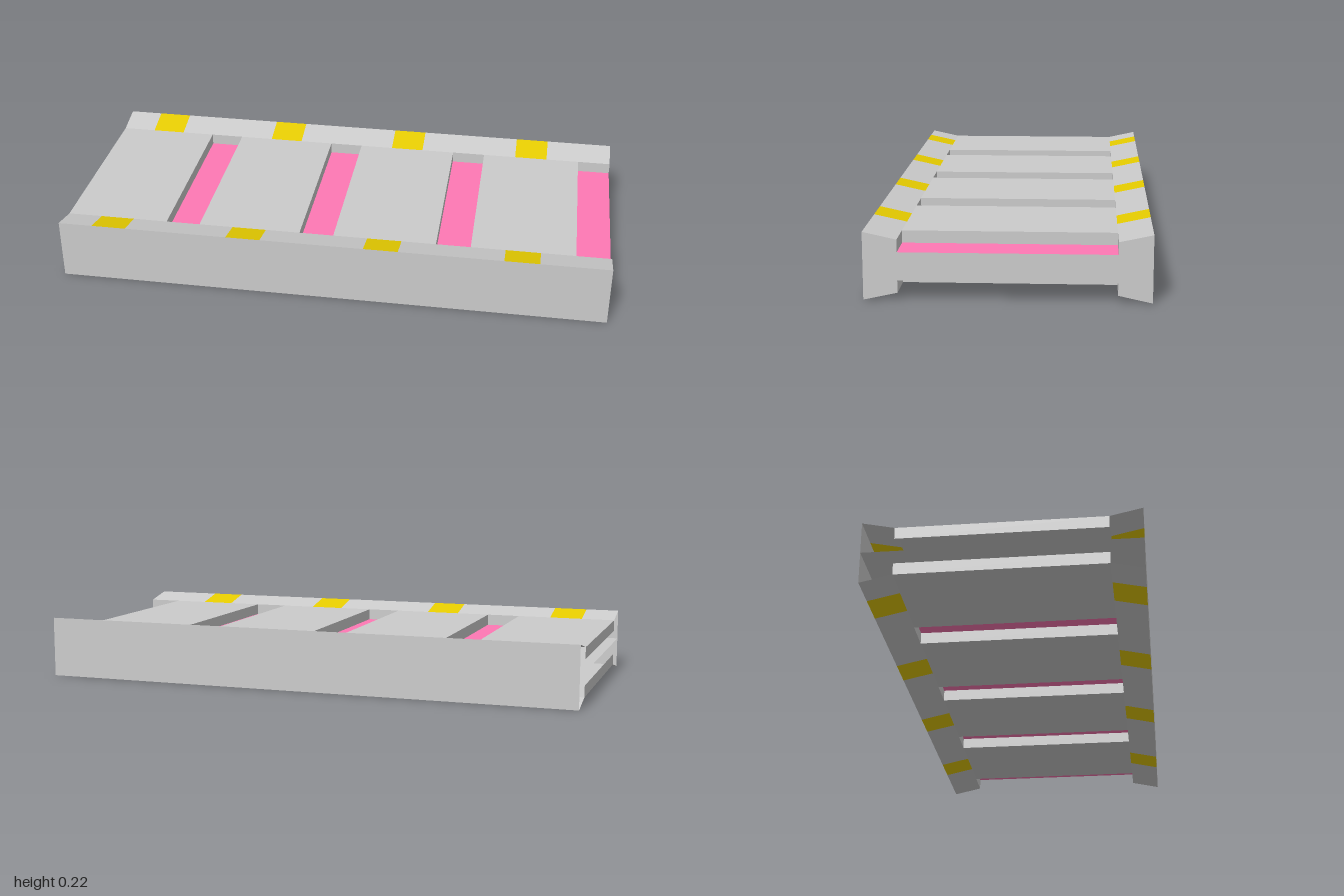
import * as THREE from 'three';
import { mergeGeometries } from 'three/addons/utils/BufferGeometryUtils.js';

const material = (color) =>
  new THREE.MeshStandardMaterial({ color, flatShading: true, side: THREE.DoubleSide });
const grey = material(0xcccccc);
const yellow = material(0xe6cc00);
const pink = material(0xff78b4);

// Heights are measured from the middle plane of the track
const OUT = 0.46, IN = 0.35;
const RIM = 0.111, DECK = 0.087, FLOOR = 0.046;
const STEP = 0.5, MARK = [0.125, 0.25], SLOT = 0.375;

// Sweep a [z, y] line along x, running from +z over the top to -z
function strip(points, x0, x1) {
  const position = [];
  for (let i = 0; i + 1 < points.length; i++) {
    const [az, ay] = points[i], [bz, by] = points[i + 1];
    position.push(x0, ay, az, x1, ay, az, x1, by, bz, x0, ay, az, x1, by, bz, x0, by, bz);
  }
  const geometry = new THREE.BufferGeometry();
  geometry.setAttribute('position', new THREE.Float32BufferAttribute(position, 3));
  geometry.computeVertexNormals();
  return geometry;
}

// Upright wall across the deck, facing +x or -x
function wall(x, side) {
  const geometry = new THREE.PlaneGeometry(2 * IN, DECK - FLOOR).toNonIndexed();
  geometry.deleteAttribute('uv');
  return geometry.rotateY(side * Math.PI / 2).translate(x, (DECK + FLOOR) / 2, 0);
}

function add(parent, name, parts, mat) {
  const mesh = new THREE.Mesh(mergeGeometries(parts), mat);
  mesh.name = name;
  parent.add(mesh);
}

function createHalf(name) {
  const half = new THREE.Group();
  half.name = name;
  const slopeFront = [[OUT, RIM], [IN, DECK]];
  const slopeBack = [[-IN, DECK], [-OUT, RIM]];
  const sides = [], slopes = [], marks = [], decks = [], slotWalls = [], floors = [];

  sides.push(strip([[OUT, 0], [OUT, RIM]], -1, 1), strip([[-OUT, RIM], [-OUT, 0]], -1, 1));
  for (let i = 0; i < 4; i++) {
    const x = -1 + i * STEP, end = x + STEP, slot = x + SLOT;
    // Sloped edges with a yellow mark in each section
    for (const slope of [slopeFront, slopeBack]) {
      slopes.push(strip(slope, x, x + MARK[0]), strip(slope, x + MARK[1], end));
      marks.push(strip(slope, x + MARK[0], x + MARK[1]));
    }
    // Deck plate followed by a sunken slot
    decks.push(strip([[IN, DECK], [-IN, DECK]], x, slot));
    floors.push(strip([[IN, FLOOR], [-IN, FLOOR]], slot, end));
    slotWalls.push(
      wall(x, -1), wall(slot, 1),
      strip([[IN, DECK], [IN, FLOOR]], slot, end),
      strip([[-IN, FLOOR], [-IN, DECK]], slot, end));
  }
  add(half, 'sideWalls', sides, grey);
  add(half, 'slopedEdges', slopes, grey);
  add(half, 'edgeMarks', marks, yellow);
  add(half, 'deckPlates', decks, grey);
  add(half, 'slotWalls', slotWalls, grey);
  add(half, 'slotFloors', floors, pink);

  // Closed end at +x
  const outline = [[-OUT, 0], [OUT, 0], [OUT, RIM], [IN, DECK], [IN, FLOOR],
    [-IN, FLOOR], [-IN, DECK], [-OUT, RIM]].map(([z, y]) => new THREE.Vector2(z, y));
  const cap = new THREE.ShapeGeometry(new THREE.Shape(outline));
  add(half, 'endCap', [cap.rotateY(Math.PI / 2).translate(1, 0, 0)], grey);
  return half;
}

export function createModel() {
  const model = new THREE.Group();
  model.name = 'trackSection';

  const upper = createHalf('upperHalf');
  const lower = createHalf('lowerHalf');
  lower.rotation.x = Math.PI;
  upper.position.y = lower.position.y = RIM;
  model.add(upper, lower);

  // Inner sheet between the halves, seen through the open -x end
  add(upper, 'middleSheet', [strip([[OUT, 0], [-OUT, 0]], -1, 1)], grey);
  return model;
}
